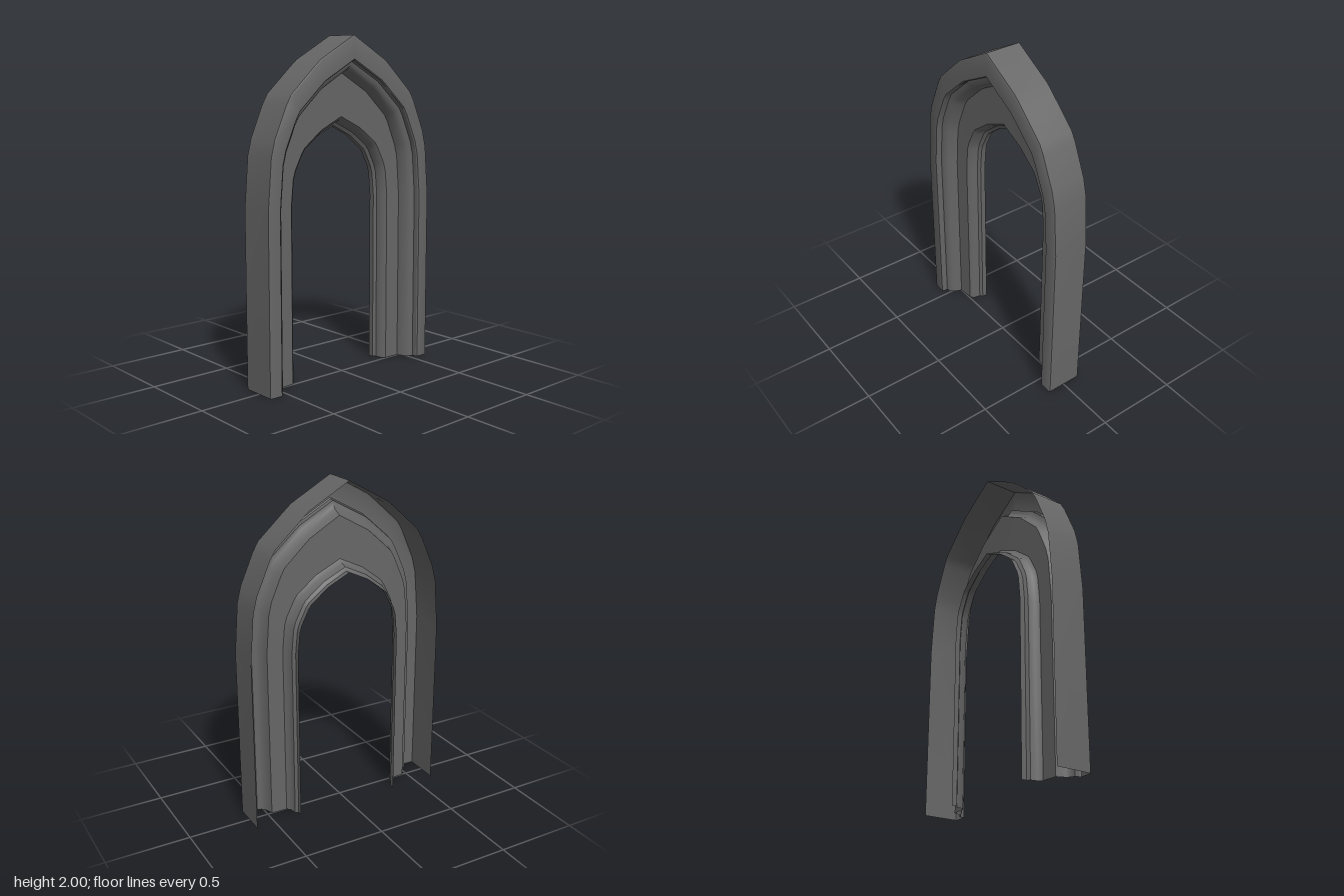
import * as THREE from 'three';
import { toCreasedNormals } from 'three/addons/utils/BufferGeometryUtils.js';

const SPRING = 1.04; // height where the legs turn into the arch

// Right half of the pointed arch, as fractions of half width and rise
const HALF_ARCH = [
  [1, 0], [0.96, 0.31], [0.92, 0.41], [0.79, 0.6], [0.735, 0.66],
  [0.48, 0.81], [0.4, 0.855], [0, 1],
];

// Moulding sections: each point is [half width, z, apex height]
const PARTS = {
  outerWall: [[0.62, -0.11, 2], [0.62, 0.105, 2]],
  frontRim: [[0.62, 0.105, 2], [0.613, 0.11, 1.99], [0.542, 0.11, 1.865], [0.537, 0.103, 1.858]],
  rimStep: [[0.537, 0.103, 1.858], [0.535, 0.075, 1.855]],
  cove: [[0.535, 0.075, 1.855], [0.51, 0.07, 1.83], [0.492, 0.052, 1.81], [0.478, 0.022, 1.795], [0.472, 0, 1.785]],
  faceBand: [[0.472, 0, 1.785], [0.375, -0.005, 1.535]],
  innerMoulding: [[0.375, -0.005, 1.535], [0.355, -0.025, 1.515], [0.347, -0.065, 1.502], [0.33, -0.078, 1.48]],
  innerWall: [[0.33, -0.078, 1.48], [0.33, -0.11, 1.48]],
};

// Path from the right foot over the apex to the left foot
function archPath([w, z, apex]) {
  const right = [[w, 0], ...HALF_ARCH.map(([fx, fy]) => [w * fx, SPRING + (apex - SPRING) * fy])];
  const left = right.slice(0, -1).reverse().map(([x, y]) => [-x, y]);
  return [...right, ...left].map(([x, y]) => [x, y, z]);
}

// Skin the arch paths of neighbouring profile points
function sweep(profile) {
  const rows = profile.map(archPath);
  const n = rows[0].length;
  const index = [];
  for (let i = 0; i < rows.length - 1; i++) {
    for (let j = 0; j < n - 1; j++) {
      const a = i * n + j, b = a + 1, c = a + n, d = c + 1;
      index.push(a, b, c, b, d, c);
    }
  }
  const geometry = new THREE.BufferGeometry();
  geometry.setAttribute('position', new THREE.Float32BufferAttribute(rows.flat(2), 3));
  geometry.setIndex(index);
  return toCreasedNormals(geometry, 0.7);
}

export function createModel() {
  const stone = new THREE.MeshStandardMaterial({ color: 0x666666, side: THREE.DoubleSide });
  stone.name = 'dark grey stone';

  const group = new THREE.Group();
  group.name = 'pointedArch';
  for (const [name, profile] of Object.entries(PARTS)) {
    const mesh = new THREE.Mesh(sweep(profile), stone);
    mesh.name = name;
    group.add(mesh);
  }
  return group;
}
